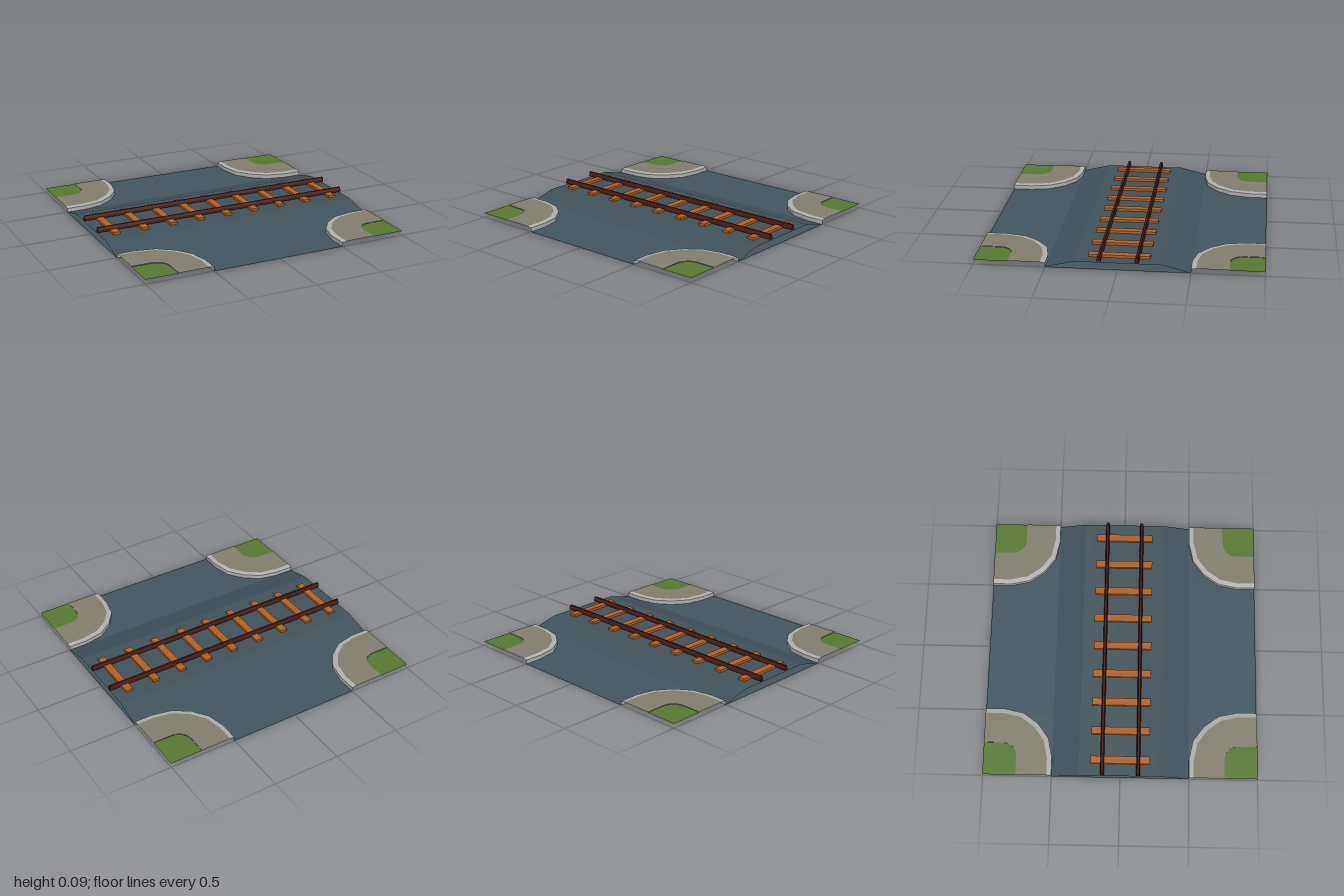
import * as THREE from 'three';

const mat = (color) =>
  new THREE.MeshStandardMaterial({ color, flatShading: true, side: THREE.DoubleSide });

const asphalt = mat(0x44565f);
const rampAsphalt = mat(0x40515a);
const crownAsphalt = mat(0x425359);
const curbGrey = mat(0xb0b0b0);
const paving = mat(0x827f6f);
const grassGreen = mat(0x5a7834);
const wood = mat(0xb45f1f);
const steel = mat(0x471c16);

function add(parent, name, geometry, material) {
  const mesh = new THREE.Mesh(geometry, material);
  mesh.name = name;
  parent.add(mesh);
  return mesh;
}

// Horizontal polygon from [x, z] points
function flat(points, y) {
  const shape = new THREE.Shape(points.map(([x, z]) => new THREE.Vector2(x, -z)));
  return new THREE.ShapeGeometry(shape).rotateX(-Math.PI / 2).translate(0, y, 0);
}

// Skin over rows of [x, y, z] points
function loft(rows) {
  const n = rows[0].length;
  const index = [];
  for (let r = 0; r < rows.length - 1; r++) {
    for (let i = 0; i < n - 1; i++) {
      const a = r * n + i, b = a + n;
      index.push(a, b, a + 1, b, b + 1, a + 1);
    }
  }
  const g = new THREE.BufferGeometry();
  g.setAttribute('position', new THREE.Float32BufferAttribute(rows.flat(2), 3));
  g.setIndex(index);
  g.computeVertexNormals();
  return g;
}

// Faceted kerb line of one corner, and the same line shrunk towards (1, 1)
const kerb = [[0.5, 1], [0.5, 0.86], [0.53, 0.72], [0.61, 0.61], [0.72, 0.53], [0.86, 0.5], [1, 0.5]];
const inset = (s) => kerb.map(([x, z]) => [1 - (1 - x) * s, 1 - (1 - z) * s]);

// Rounded edge of the grass patch
const grassEdge = [[0.76, 1]];
for (let i = 0; i <= 6; i++) {
  const a = (i / 6) * Math.PI / 2;
  grassEdge.push([0.86 - 0.1 * Math.cos(a), 0.86 - 0.1 * Math.sin(a)]);
}
grassEdge.push([1, 0.76]);

function createCorner() {
  const corner = new THREE.Group();
  corner.name = 'streetCorner';
  const rows = [[1, 0], [1, 0.03], [0.93, 0.035]]
    .map(([s, y]) => inset(s).map(([x, z]) => [x, y, z]));
  add(corner, 'curb', loft(rows), curbGrey);
  add(corner, 'sidewalk', flat([...inset(0.93), ...[...grassEdge].reverse()], 0.035), paving);
  add(corner, 'grass', flat([...grassEdge, [1, 1]], 0.032), grassGreen);
  return corner;
}

export function createModel() {
  const model = new THREE.Group();
  model.name = 'railCrossing';

  // Road: a level cross-shaped sheet with a ramped crown over it
  const road = new THREE.Group();
  road.name = 'road';
  model.add(road);
  const outline = [];
  let side = kerb;
  for (let i = 0; i < 4; i++) {
    outline.push(...side);
    side = side.map(([x, z]) => [z, -x]);
  }
  add(road, 'roadBase', flat(outline, 0), asphalt);
  for (const turn of [0, Math.PI]) {
    const ramp = loft([[0.05, 0.3], [0, 0.5]].map(([y, z]) => [[-1, y, z], [1, y, z]]));
    add(road, 'ramp', ramp, rampAsphalt).rotation.y = turn;
  }
  add(road, 'crown', flat([[-1, -0.3], [1, -0.3], [1, 0.3], [-1, 0.3]], 0.05), crownAsphalt);

  // Four corners, each a quarter turn on
  for (let i = 0; i < 4; i++) {
    const corner = createCorner();
    corner.rotation.y = i * Math.PI / 2;
    model.add(corner);
  }

  // Track: nine ties and two tapered rails
  const track = new THREE.Group();
  track.name = 'track';
  model.add(track);
  const tieGeometry = new THREE.BoxGeometry(0.054, 0.018, 0.43);
  for (let i = -4; i <= 4; i++) {
    add(track, 'tie', tieGeometry, wood).position.set(i * 0.221, 0.061, 0);
  }
  const profile = new THREE.Shape([
    [-0.014, 0.06], [0.014, 0.06], [0.013, 0.076], [0.007, 0.095], [-0.007, 0.095], [-0.013, 0.076],
  ].map(([x, y]) => new THREE.Vector2(x, y)));
  const railGeometry = new THREE.ExtrudeGeometry(profile, { depth: 2, bevelEnabled: false })
    .translate(0, 0, -1).rotateY(Math.PI / 2);
  for (const z of [-0.131, 0.131]) add(track, 'rail', railGeometry, steel).position.z = z;

  return model;
}
